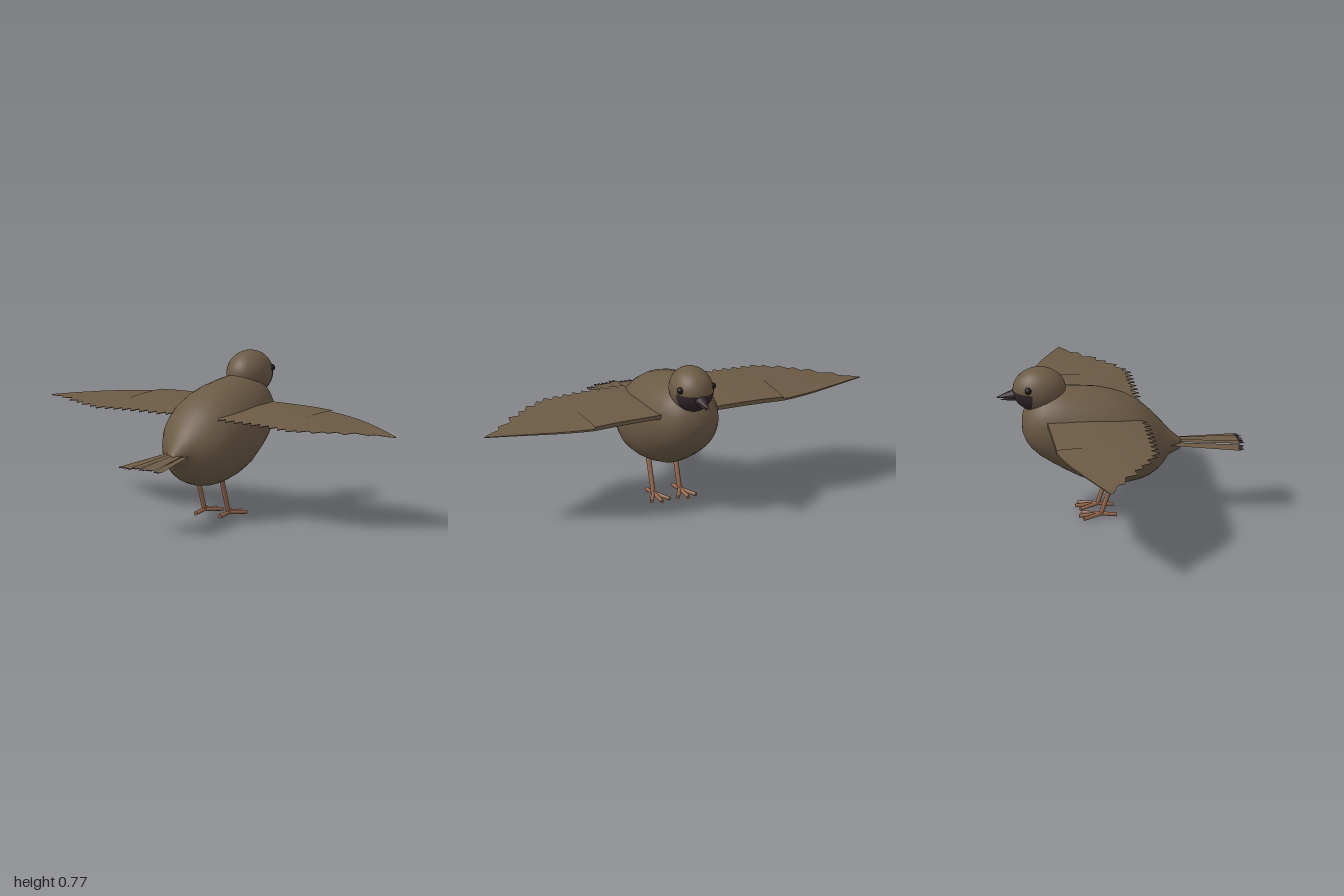
import * as THREE from 'three';
import { toCreasedNormals } from 'three/addons/utils/BufferGeometryUtils.js';

const mat = (name, color, side = THREE.FrontSide) => {
  const m = new THREE.MeshStandardMaterial({ color, side });
  m.name = name;
  return m;
};

// Skin closed loops of points, ordered along the axis the loops turn about.
function loft(sections) {
  const n = sections[0].length, index = [];
  for (let i = 0; i < sections.length - 1; i++) {
    for (let j = 0; j < n; j++) {
      const a = i * n + j, b = i * n + (j + 1) % n;
      index.push(a, b, a + n, b, b + n, a + n);
    }
  }
  const g = new THREE.BufferGeometry();
  g.setAttribute('position', new THREE.Float32BufferAttribute(sections.flat(2), 3));
  g.setIndex(index);
  g.computeVertexNormals();
  return g;
}

// Straight rod between two points.
function rod(a, b, r0, r1) {
  const p = new THREE.Vector3(...a), q = new THREE.Vector3(...b), d = q.clone().sub(p);
  const g = new THREE.CylinderGeometry(r1, r0, d.length(), 10);
  g.applyQuaternion(new THREE.Quaternion().setFromUnitVectors(new THREE.Vector3(0, 1, 0), d.normalize()));
  const c = p.add(q).multiplyScalar(0.5);
  return g.translate(c.x, c.y, c.z);
}

// Piecewise linear lookup in [x, value] pairs.
function lerpTable(t, x) {
  let i = 0;
  while (i < t.length - 2 && x > t[i + 1][0]) i++;
  const [[x0, v0], [x1, v1]] = [t[i], t[i + 1]];
  return v0 + (v1 - v0) * THREE.MathUtils.clamp((x - x0) / (x1 - x0), 0, 1);
}

const leading = [[0.1, -0.38], [0.5, -0.382], [0.56, -0.37], [0.63, -0.35], [0.7, -0.325],
  [0.8, -0.28], [0.9, -0.23], [1, -0.178]];

// Saw-toothed trailing edge: regular teeth inside, longer steps toward the tip.
const trailing = [[0.1, 0.03], [0.13, 0.05], [0.15, 0.11]];
for (let x = 0.175; x < 0.53; x += 0.05) trailing.push([x, 0.08], [x + 0.025, 0.12]);
trailing.push([0.585, 0.075], [0.6, 0.1], [0.635, 0.045], [0.67, 0.065], [0.7, 0.01], [0.73, 0.02],
  [0.75, -0.03], [0.8, -0.02], [0.82, -0.083], [0.89, -0.095], [0.905, -0.133], [0.96, -0.15], [1, -0.172]);

const chord = (x) => [lerpTable(leading, x), lerpTable(trailing, x)];
const wingY = (x, z) => {
  const t = THREE.MathUtils.clamp((z + 0.38) / 0.5, 0, 1);
  const out = Math.max(0, x - 0.3) / 0.7;
  return 0.512 + 0.02 * Math.sin(Math.PI * t) * (1 - out) - 0.036 * Math.pow(out, 1.5);
};

// Thin cambered panel over the given stations; lift and thickness are in y.
function wingPanel(side, xs, reach, lift, thick) {
  const n = 12;
  const sections = xs.map((x) => {
    const [z0, zt] = chord(x), z1 = reach === null ? zt : reach, loop = [];
    const th = thick * (1 - 0.7 * Math.max(0, x - 0.4) / 0.6);
    for (let k = 0; k <= n; k++) {
      const z = z0 + (z1 - z0) * k / n;
      loop.push([side * x, wingY(x, z) + lift * (1 - 0.8 * k / n) + th * (1 - 0.7 * k / n), z]);
    }
    for (let k = n; k >= 0; k--) {
      const z = z0 + (z1 - z0) * k / n;
      loop.push([side * x, wingY(x, z), z]);
    }
    return loop;
  });
  if (side < 0) sections.reverse();
  return toCreasedNormals(loft(sections), 0.7);
}

export function createModel() {
  const root = new THREE.Group();
  root.name = 'bird';
  const plumage = mat('brown plumage', 0x6b5a45);
  const tailBrown = mat('tail brown', 0x6b5a45, THREE.DoubleSide);
  const dark = mat('dark feathers', 0x32262a, THREE.DoubleSide);
  const beakMat = mat('dark beak', 0x33262a);
  const eyeMat = mat('black eye', 0x1c1616);
  const legMat = mat('tan legs', 0x94684f);
  const add = (name, g, m, parent = root) => {
    const mesh = new THREE.Mesh(g, m);
    mesh.name = name;
    parent.add(mesh);
    return mesh;
  };

  // Body: [z, top, bottom, half width] from breast to rump
  const profile = [[-0.486, 0.482, 0.478, 0.002], [-0.481, 0.53, 0.43, 0.05], [-0.465, 0.57, 0.39, 0.09],
    [-0.44, 0.605, 0.355, 0.12], [-0.4, 0.64, 0.318, 0.148], [-0.35, 0.658, 0.285, 0.169],
    [-0.28, 0.662, 0.243, 0.189], [-0.2, 0.656, 0.2, 0.204], [-0.12, 0.648, 0.178, 0.213],
    [-0.05, 0.632, 0.167, 0.215], [0.02, 0.607, 0.165, 0.209], [0.08, 0.573, 0.176, 0.19],
    [0.13, 0.53, 0.194, 0.16], [0.17, 0.488, 0.219, 0.126], [0.2, 0.455, 0.248, 0.096],
    [0.225, 0.424, 0.288, 0.072], [0.25, 0.4, 0.3, 0.053], [0.28, 0.374, 0.312, 0.032],
    [0.295, 0.355, 0.326, 0.015], [0.3, 0.342, 0.338, 0.002]];
  add('body', loft(profile.map(([z, top, bot, w]) => Array.from({ length: 32 }, (_, j) => {
    const a = j / 32 * Math.PI * 2;
    return [w * Math.cos(a), (top + bot) / 2 + (top - bot) / 2 * Math.sin(a), z];
  }))), plumage);

  // Head with a dark throat mask over its lower front
  const head = new THREE.Group();
  head.name = 'head';
  root.add(head);
  const ellipsoid = (g, k) => g.scale(0.105 * k, 0.11 * k, 0.13 * k).translate(0, 0.658, -0.402);
  add('skull', ellipsoid(new THREE.SphereGeometry(1, 32, 24), 1), plumage, head);
  add('throatMask', ellipsoid(new THREE.SphereGeometry(1, 28, 16, Math.PI, Math.PI, 0, 1.22)
    .rotateX(-Math.PI / 2), 1.015), dark, head);

  // Beak: two tapered mandibles
  const cone = (len, w, h, y, tipY) => {
    const g = new THREE.ConeGeometry(1, 1, 14).translate(0, 0.5, 0).rotateX(-Math.PI / 2).scale(w, h, len);
    const p = g.attributes.position;
    for (let i = 0; i < p.count; i++) p.setY(i, p.getY(i) + y + (tipY - y) * (-p.getZ(i) / len));
    g.translate(0, 0, -0.505);
    g.computeVertexNormals();
    return g;
  };
  add('upperBeak', cone(0.113, 0.038, 0.029, 0.641, 0.622), beakMat, head);
  add('lowerBeak', cone(0.09, 0.03, 0.018, 0.622, 0.608), beakMat, head);

  for (const s of [1, -1]) {
    const label = s > 0 ? 'left' : 'right';
    add(label + 'Eye', new THREE.SphereGeometry(0.017, 16, 12).translate(s * 0.086, 0.68, -0.467), eyeMat, head);

    // Wings: a toothed flight panel with a raised covert layer
    const wing = new THREE.Group();
    wing.name = label + 'Wing';
    root.add(wing);
    const xs = [...leading, ...trailing].map((p) => p[0]).sort((a, b) => a - b)
      .filter((x, i, l) => i === 0 || x - l[i - 1] > 0.002);
    add('flightFeathers', wingPanel(s, xs, null, 0, 0.012), plumage, wing);
    add('coverts', wingPanel(s, [0.1, 0.2, 0.3, 0.4, 0.497, 0.5], -0.05, 0.009, 0.012), plumage, wing);

    // Legs and feet
    const leg = new THREE.Group();
    leg.name = label + 'Leg';
    root.add(leg);
    const ankle = [s * 0.07, 0.02, -0.108];
    add('shank', rod([s * 0.07, 0.2, -0.045], ankle, 0.013, 0.011), legMat, leg);
    for (const x of [0.022, 0.07, 0.118]) {
      add('frontToe', rod(ankle, [s * x, 0.012, x === 0.07 ? -0.215 : -0.198], 0.01, 0.009), legMat, leg);
    }
    add('hindToe', rod(ankle, [s * 0.07, 0.011, -0.03], 0.01, 0.01), legMat, leg);
  }

  // Tail: flat overlapping feathers with notched dark tips
  const tail = new THREE.Group();
  tail.name = 'tail';
  root.add(tail);
  const flat = (pts, y) => {
    const g = new THREE.ShapeGeometry(new THREE.Shape(pts.map(([x, z]) => new THREE.Vector2(x, -z))));
    return g.rotateX(-Math.PI / 2).rotateX(0.058).translate(0, y, 0);
  };
  for (let i = 0; i < 6; i++) {
    const a = (i - 2.5) / 2.5, x0 = a * 0.045, x1 = a * 0.1, w = 0.023;
    const y = 0.375 - 0.008 * Math.abs(a) - (i % 2) * 0.004;
    const end = 0.575 - 0.012 * Math.abs(a);
    add('tailFeather', flat([[x0 - 0.014, 0.2], [x1 - w, end], [x1 + w, end], [x0 + 0.014, 0.2]], y), tailBrown, tail);
    add('tailTip', flat([[x1 - w, end], [x1 - w * 0.5, end + 0.03], [x1, end + 0.014],
      [x1 + w * 0.5, end + 0.03], [x1 + w, end]], y), dark, tail);
  }
  return root;
}
